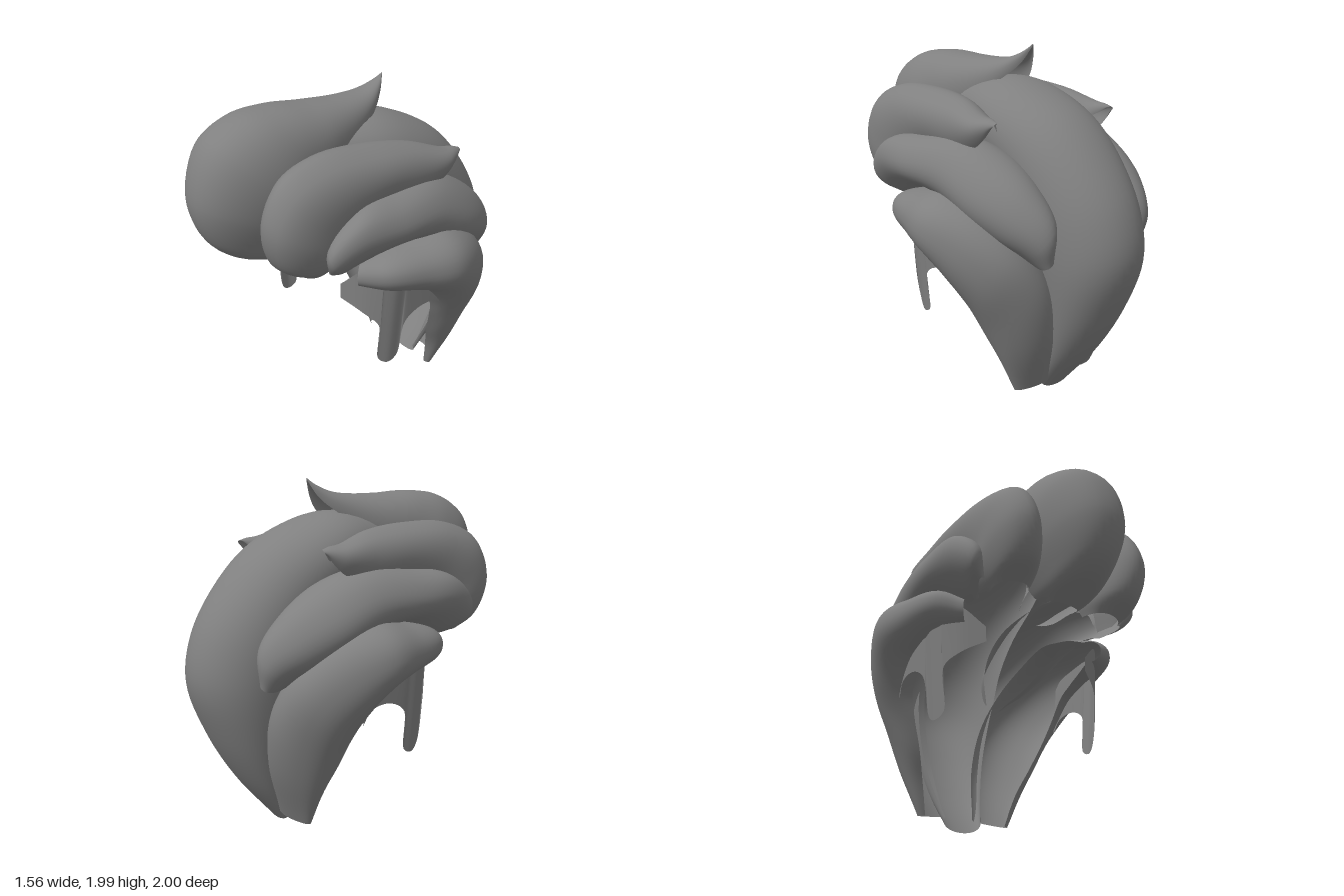
import * as THREE from 'three';

const V = (p) => new THREE.Vector3(...p);

// Sweeps a rounded shell over three rails: one edge, the ridge, the other edge.
// Each station is [edge xyz, ridge xyz, edge xyz]. The wraps tuck the two edges
// under; a power below 1 squares the section.
function lock(name, stations, material, wrapA, wrapB, power) {
  const rails = [0, 3, 6].map((k) => new THREE.CatmullRomCurve3(stations.map((s) => V(s.slice(k, k + 3)))));
  const nu = (stations.length - 1) * 6, nt = 24;
  const soft = (v) => Math.sign(v) * Math.abs(v) ** power;
  const pos = [], index = [];
  for (let i = 0; i <= nu; i++) {
    const [a, r, b] = rails.map((c) => c.getPoint(i / nu));
    const m = a.clone().add(b).multiplyScalar(0.5);
    a.sub(m);
    r.sub(m);
    for (let j = 0; j <= nt; j++) {
      const t = -wrapA + (Math.PI + wrapA + wrapB) * j / nt;
      const p = m.clone().addScaledVector(a, soft(Math.cos(t))).addScaledVector(r, soft(Math.sin(t)));
      pos.push(p.x, p.y, p.z);
      if (i < nu && j < nt) {
        const k = i * (nt + 1) + j, n = k + nt + 1;
        index.push(k, k + 1, n, k + 1, n + 1, n);
      }
    }
  }
  const geo = new THREE.BufferGeometry();
  geo.setAttribute('position', new THREE.Float32BufferAttribute(pos, 3));
  geo.setIndex(index);
  geo.computeVertexNormals();
  const mesh = new THREE.Mesh(geo, material);
  mesh.name = name;
  return mesh;
}

// Centre lock station: ridge y, z, then edge y, z and half width
const centred = ([ry, rz, ey, ez, w]) => [-w, ey, ez, 0, ry, rz, w, ey, ez];
// Mirrored station with its edges swapped so the faces stay outward
const mirrored = (s) => [-s[6], s[7], s[8], -s[3], s[4], s[5], -s[0], s[1], s[2]];

// Swept-up quiff, forehead to flicked tip
const quiff = [
  [1.08, 0.6, 1.09, 0.55, 0.1],
  [1.16, 0.82, 1.13, 0.58, 0.15],
  [1.28, 0.94, 1.2, 0.6, 0.19],
  [1.5, 1.0, 1.34, 0.62, 0.25],
  [1.78, 0.91, 1.48, 0.6, 0.285],
  [1.9, 0.72, 1.57, 0.52, 0.285],
  [1.925, 0.5, 1.65, 0.42, 0.26],
  [1.91, 0.28, 1.7, 0.25, 0.23],
  [1.905, 0.05, 1.75, 0.05, 0.17],
  [1.92, -0.1, 1.83, -0.1, 0.11],
  [1.96, -0.2, 1.9, -0.19, 0.05],
  [1.99, -0.24, 1.98, -0.24, 0.003],
];

// Broad back lock, crown to nape
const backLock = [
  [1.78, 0.2, 1.6, 0.2, 0.22],
  [1.81, -0.1, 1.6, -0.03, 0.29],
  [1.76, -0.32, 1.54, -0.2, 0.32],
  [1.62, -0.6, 1.4, -0.42, 0.32],
  [1.38, -0.83, 1.2, -0.58, 0.31],
  [1.15, -0.96, 1.0, -0.66, 0.3],
  [0.9, -1.0, 0.8, -0.7, 0.28],
  [0.6, -0.9, 0.55, -0.68, 0.24],
  [0.3, -0.73, 0.3, -0.6, 0.19],
  [0.0, -0.49, 0.06, -0.47, 0.13],
];

// Left-hand locks, each from its front end to its tip
const upperLock = [
  [0.22, 1.12, 0.52, 0.36, 1.11, 0.6, 0.42, 1.1, 0.46],
  [0.2, 1.2, 0.55, 0.39, 1.21, 0.74, 0.46, 1.14, 0.45],
  [0.2, 1.36, 0.55, 0.43, 1.42, 0.79, 0.5, 1.22, 0.42],
  [0.2, 1.51, 0.5, 0.45, 1.62, 0.69, 0.5, 1.3, 0.38],
  [0.2, 1.59, 0.38, 0.45, 1.71, 0.47, 0.5, 1.38, 0.3],
  [0.2, 1.62, 0.15, 0.45, 1.72, 0.15, 0.5, 1.45, 0.12],
  [0.25, 1.6, -0.1, 0.455, 1.69, -0.12, 0.5, 1.46, -0.12],
  [0.33, 1.58, -0.3, 0.47, 1.64, -0.32, 0.5, 1.51, -0.31],
  [0.39, 1.6, -0.38, 0.46, 1.63, -0.4, 0.48, 1.55, -0.38],
  [0.43, 1.62, -0.43, 0.45, 1.62, -0.445, 0.46, 1.6, -0.43],
];
const middleLock = [
  [0.42, 1.12, 0.42, 0.5, 1.14, 0.49, 0.46, 1.1, 0.4],
  [0.42, 1.31, 0.42, 0.58, 1.24, 0.53, 0.47, 1.12, 0.34],
  [0.42, 1.45, 0.25, 0.64, 1.37, 0.38, 0.49, 1.15, 0.25],
  [0.41, 1.5, 0.05, 0.655, 1.39, 0.12, 0.52, 1.21, 0.05],
  [0.35, 1.5, -0.2, 0.615, 1.41, -0.2, 0.54, 1.18, -0.15],
  [0.29, 1.42, -0.41, 0.575, 1.32, -0.45, 0.52, 1.08, -0.36],
  [0.26, 1.29, -0.57, 0.5, 1.2, -0.65, 0.47, 1.0, -0.5],
  [0.25, 1.14, -0.66, 0.4, 1.06, -0.78, 0.42, 0.95, -0.6],
  [0.3, 0.95, -0.7, 0.36, 0.92, -0.77, 0.38, 0.9, -0.68],
];
const lowerLock = [
  [0.45, 1.12, 0.25, 0.5, 1.05, 0.31, 0.45, 0.98, 0.25],
  [0.48, 1.18, 0.15, 0.66, 1.08, 0.22, 0.5, 0.95, 0.12],
  [0.5, 1.22, 0, 0.74, 1.08, 0, 0.53, 0.92, 0],
  [0.5, 1.25, -0.2, 0.78, 1.07, -0.2, 0.55, 0.87, -0.12],
  [0.44, 1.16, -0.4, 0.71, 0.98, -0.41, 0.54, 0.72, -0.24],
  [0.34, 0.98, -0.56, 0.6, 0.82, -0.56, 0.49, 0.58, -0.29],
  [0.26, 0.75, -0.66, 0.49, 0.6, -0.59, 0.42, 0.42, -0.33],
  [0.19, 0.45, -0.65, 0.39, 0.35, -0.57, 0.35, 0.25, -0.39],
  [0.12, 0.09, -0.53, 0.27, 0.07, -0.5, 0.29, 0.06, -0.43],
];

// Thin sideburn, curling in at the temple: z, top y, bottom y
const burnProfile = [
  [0.32, 0.96, 0.87], [0.25, 1.08, 0.8], [0.185, 1.1, 0.72], [0.17, 1.1, 0.48], [0.11, 1.1, 0.44],
  [0.05, 1.1, 0.47], [0.02, 1.1, 0.71], [-0.1, 1.08, 0.78], [-0.22, 1.05, 0.76], [-0.27, 1.0, 0.68],
];
const sideburn = burnProfile.map(([z, top, bottom]) => {
  const x = (y) => 0.6 - 0.14 * Math.max(0, 0.9 - y) - 5 * Math.max(0, z - 0.1) ** 2;
  return [x(top), top, z, (x(top) + x(bottom)) / 2, (top + bottom) / 2, z, x(bottom), bottom, z];
});

export function createModel() {
  const hair = new THREE.MeshStandardMaterial({ color: 0x808080, side: THREE.DoubleSide });
  hair.name = 'hair grey';
  const model = new THREE.Group();
  model.name = 'hairpiece';

  model.add(lock('quiff', quiff.map(centred), hair, 0.3, 0.3, 0.87));
  model.add(lock('backLock', backLock.map(centred), hair, 0.3, 0.3, 0.97));

  for (const [name, stations, wrapA, wrapB, power] of [
    ['upperLock', upperLock, 0.3, 0.3, 0.86],
    ['middleLock', middleLock, 0.3, 0.3, 0.92],
    ['lowerLock', lowerLock, 0.3, 0.12, 0.92],
    ['sideburn', sideburn, 0, 0, 1],
  ]) {
    model.add(lock(name + 'Left', stations, hair, wrapA, wrapB, power));
    model.add(lock(name + 'Right', stations.map(mirrored), hair, wrapB, wrapA, power));
  }
  return model;
}
